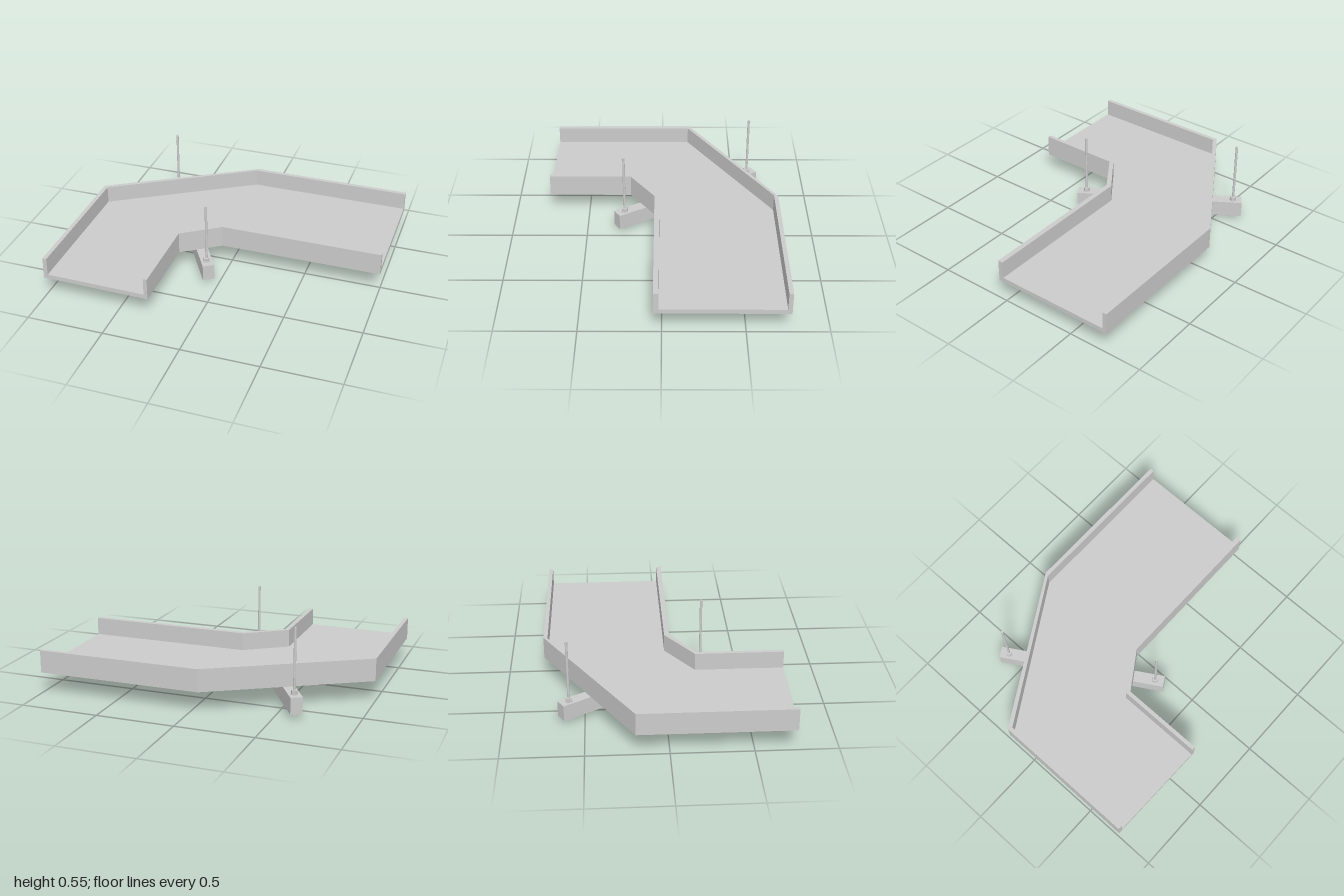
import * as THREE from 'three';

const material = new THREE.MeshStandardMaterial({ color: 0xcccccc, flatShading: true });

// Plan outlines as [x, z], running from the straight end to the turned end
const outerFace = [[1, -0.765], [-0.055, -0.765], [-1, -0.2], [-1, 0.752]];
const outerInset = [[1, -0.738], [-0.063, -0.738], [-0.973, -0.185], [-0.973, 0.752]];
const innerInset = [[1, 0.017], [-0.06, 0.017], [-0.32, 0.198], [-0.32, 0.762]];
const innerFace = [[1, 0.05], [-0.052, 0.05], [-0.295, 0.213], [-0.295, 0.762]];

function add(group, name, geometry, x = 0, y = 0, z = 0) {
  const mesh = new THREE.Mesh(geometry, material);
  mesh.name = name;
  mesh.position.set(x, y, z);
  group.add(mesh);
  return mesh;
}

// Upright slab between two plan outlines
function slab(a, b, height) {
  const points = [...a, ...[...b].reverse()].map(([x, z]) => new THREE.Vector2(x, -z));
  const geometry = new THREE.ExtrudeGeometry(new THREE.Shape(points), { depth: height, bevelEnabled: false });
  return geometry.rotateX(-Math.PI / 2);
}

export function createModel() {
  const model = new THREE.Group();
  model.name = 'cornerTray';

  // Tray: floor between two side walls
  add(model, 'trayFloor', slab(outerInset, innerInset, 0.03), 0, 0.14, 0);
  add(model, 'outerWall', slab(outerFace, outerInset, 0.145), 0, 0.14, 0);
  add(model, 'innerWall', slab(innerInset, innerFace, 0.145), 0, 0.14, 0);

  // Hanger: crossbar under the bend, carried by two nutted rods
  const hanger = new THREE.Group();
  hanger.name = 'hanger';
  hanger.position.set(-0.348, 0, -0.172);
  hanger.rotation.y = Math.atan2(0.51, 0.845);
  model.add(hanger);
  add(hanger, 'crossbar', new THREE.BoxGeometry(0.075, 0.105, 1.105), 0, 0.0875, 0);
  for (const side of [-1, 1]) {
    const z = side * 0.494;
    add(hanger, 'rod', new THREE.CylinderGeometry(0.008, 0.008, 0.545, 16), 0, 0.2775, z);
    for (const y of [0.023, 0.155]) {
      add(hanger, 'nut', new THREE.CylinderGeometry(0.021, 0.021, 0.022, 6), 0, y, z);
    }
    for (const y of [0.0345, 0.142]) {
      add(hanger, 'washer', new THREE.CylinderGeometry(0.022, 0.022, 0.005, 20), 0, y, z);
    }
  }
  return model;
}
